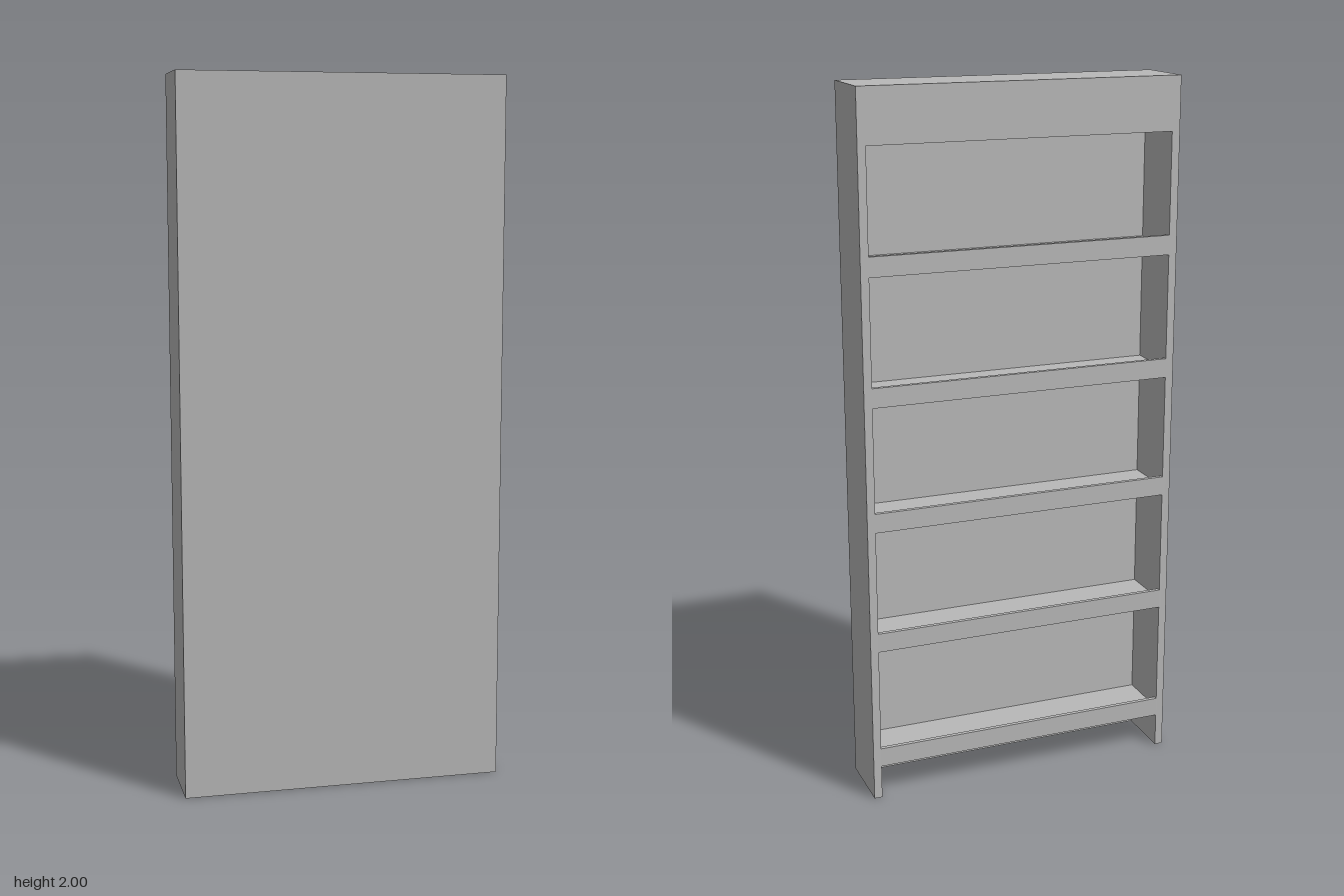
import * as THREE from 'three';

export function createModel() {
  const group = new THREE.Group();
  const grey = new THREE.MeshStandardMaterial({ color: 0xb8b8b8 });
  grey.name = 'grey';

  const W = 0.915, H = 2, D = 0.19, T = 0.023; // outer size and board thickness
  const innerW = W - 2 * T;
  const innerD = D - T;
  const innerZ = -T / 2; // the case is open towards -z

  // Box placed by its bottom height
  function board(name, w, h, d, x, bottom, z) {
    const mesh = new THREE.Mesh(new THREE.BoxGeometry(w, h, d), grey);
    mesh.name = name;
    mesh.position.set(x, bottom + h / 2, z);
    group.add(mesh);
  }

  // Closed face panel and the two sides
  board('facePanel', W, H, T, 0, 0, D / 2 - T / 2);
  for (const [name, s] of [['leftSide', 1], ['rightSide', -1]]) {
    board(name, T, H, innerD, s * (W / 2 - T / 2), 0, innerZ);
  }

  // Deep top block
  board('top', innerW, 0.15, innerD, 0, H - 0.15, innerZ);

  // Shelves, each with a thin raised lip along the open edge
  const lipT = 0.012;
  for (let i = 0; i < 5; i++) {
    const bottom = 0.098 + i * 0.353;
    board('shelf' + (i + 1), innerW, 0.026, innerD - lipT, 0, bottom, innerZ + lipT / 2);
    board('shelfLip' + (i + 1), innerW, 0.055, lipT, 0, bottom, -D / 2 + lipT / 2);
  }
  return group;
}
